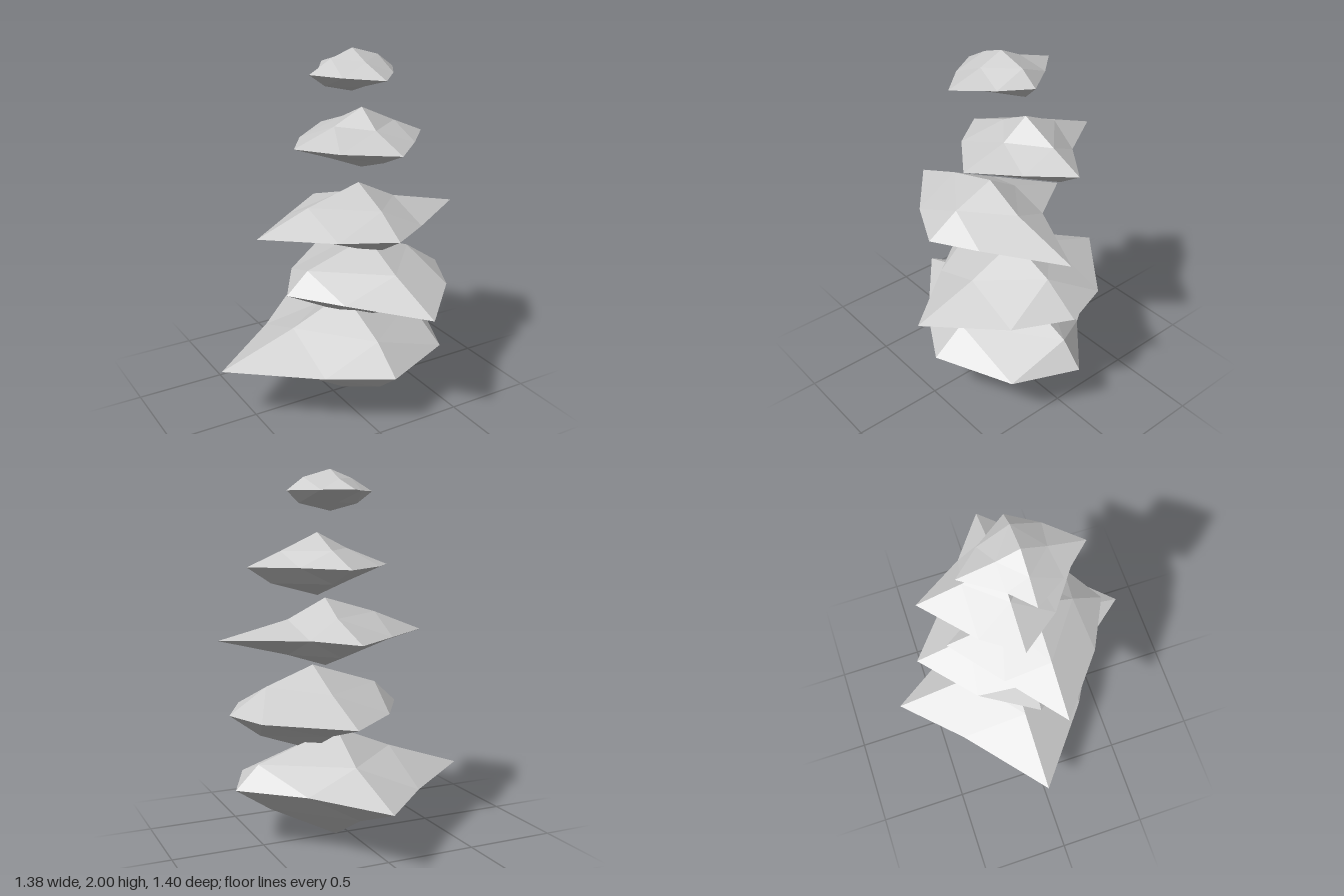
import * as THREE from 'three';

// A faceted stone: an octahedron whose 12 edges each carry one displaced midpoint.
// Pairs in tips are [negative, positive]; midpoints are ordered by sign: --, +-, -+, ++.
function makeStone(name, { centre, tips, xy, yz, xz }) {
  const [cx, cy, cz] = centre;
  const at = (list, a, b) => list[(a > 0 ? 1 : 0) + (b > 0 ? 2 : 0)];
  const end = (pair, s) => pair[s > 0 ? 1 : 0];
  const positions = [];

  for (const sx of [-1, 1]) for (const sy of [-1, 1]) for (const sz of [-1, 1]) {
    // corners of this eighth
    const X = [end(tips.x, sx), cy, cz];
    const Y = [cx, end(tips.y, sy), cz];
    const Z = [cx, cy, end(tips.z, sz)];
    // edge midpoints
    const p = at(xy, sx, sy), q = at(yz, sy, sz), r = at(xz, sx, sz);
    const XY = [p[0], p[1], cz];
    const YZ = [cx, q[0], q[1]];
    const XZ = [r[0], cy, r[1]];
    const faces = [[X, XY, XZ], [XY, Y, YZ], [XZ, YZ, Z], [XY, YZ, XZ]];
    for (const [a, b, c] of faces) {
      positions.push(...a, ...(sx * sy * sz > 0 ? [...b, ...c] : [...c, ...b]));
    }
  }

  const geometry = new THREE.BufferGeometry();
  geometry.setAttribute('position', new THREE.Float32BufferAttribute(positions, 3));
  geometry.computeVertexNormals();
  const material = new THREE.MeshStandardMaterial({ color: 0xcccccc, flatShading: true });
  const mesh = new THREE.Mesh(geometry, material);
  mesh.name = name;
  return mesh;
}

export function createModel() {
  const group = new THREE.Group();
  group.name = 'stoneStack';

  // widest stone at the base
  group.add(makeStone('baseStone', {
    centre: [0.074, 0.325, -0.005],
    tips: { x: [-0.69, 0.65], y: [0, 0.61], z: [-0.7, 0.53] },
    xy: [[-0.286, 0.204], [0.46, 0.198], [-0.254, 0.474], [0.524, 0.452]],
    yz: [[0.172, -0.315], [0.447, -0.267], [0.2, 0.378], [0.463, 0.35]],
    xz: [[-0.235, -0.388], [0.35, -0.28], [-0.25, 0.345], [0.5, 0.345]],
  }));

  // second stone, resting in the base
  group.add(makeStone('secondStone', {
    centre: [0.18, 0.715, 0.063],
    tips: { x: [-0.323, 0.656], y: [0.48, 0.955], z: [-0.52, 0.703] },
    xy: [[-0.08, 0.59], [0.487, 0.59], [-0.196, 0.833], [0.45, 0.854]],
    yz: [[0.6, -0.156], [0.835, -0.2], [0.6, 0.29], [0.83, 0.35]],
    xz: [[-0.13, -0.25], [0.567, -0.2], [-0.12, 0.33], [0.51, 0.365]],
  }));

  // third stone
  group.add(makeStone('middleStone', {
    centre: [0.074, 1.105, 0.136],
    tips: { x: [-0.523, 0.688], y: [0.933, 1.31], z: [-0.347, 0.533] },
    xy: [[-0.14, 1.013], [0.296, 1.005], [-0.23, 1.22], [0.296, 1.2]],
    yz: [[1.005, -0.09], [1.21, -0.034], [1.008, 0.373], [1.215, 0.36]],
    xz: [[-0.215, -0.115], [0.25, -0.075], [-0.2, 0.395], [0.303, 0.395]],
  }));

  // fourth stone
  group.add(makeStone('fourthStone', {
    centre: [0.18, 1.495, -0.007],
    tips: { x: [-0.23, 0.57], y: [1.34, 1.67], z: [-0.445, 0.387] },
    xy: [[-0.01, 1.415], [0.44, 1.41], [0.01, 1.585], [0.386, 1.575]],
    yz: [[1.41, -0.21], [1.58, -0.204], [1.415, 0.21], [1.57, 0.135]],
    xz: [[-0.09, -0.205], [0.347, -0.175], [-0.075, 0.2], [0.39, 0.19]],
  }));

  // smallest stone on top
  group.add(makeStone('topStone', {
    centre: [0.074, 1.885, 0.062],
    tips: { x: [-0.175, 0.322], y: [1.78, 2], z: [-0.25, 0.382] },
    xy: [[-0.085, 1.82], [0.254, 1.82], [-0.05, 1.955], [0.228, 1.955]],
    yz: [[1.823, -0.045], [1.945, -0.055], [1.823, 0.18], [1.945, 0.19]],
    xz: [[-0.06, -0.05], [0.2, -0.11], [-0.075, 0.22], [0.225, 0.215]],
  }));

  return group;
}
